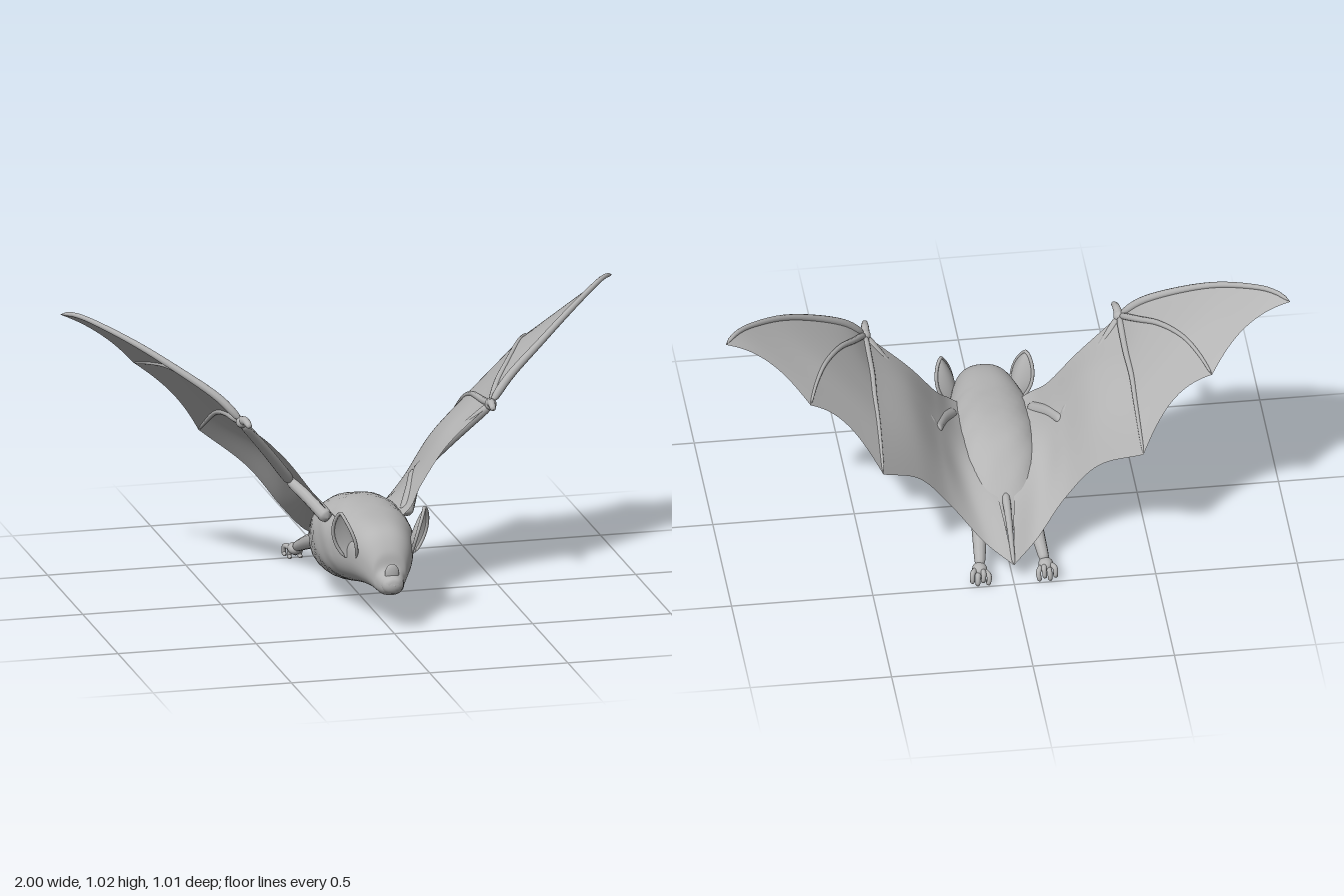
import * as THREE from 'three';

const V = (a) => new THREE.Vector3(...a);
const curve = (pts) => new THREE.CatmullRomCurve3(pts.map(p => p.isVector3 ? p : V(p)), false, 'catmullrom');
const grey = new THREE.MeshStandardMaterial({ color: 0xb4b4b4, side: THREE.DoubleSide });
grey.name = 'bat grey';

// Smooth sheet from a rule fn(u, v) -> Vector3; wrap joins the v ends
function sheet(name, nu, nv, fn, wrap = false) {
  const pos = [], idx = [], cols = wrap ? nv : nv + 1;
  for (let i = 0; i <= nu; i++)
    for (let j = 0; j < cols; j++) pos.push(...fn(i / nu, j / nv).toArray());
  for (let i = 0; i < nu; i++)
    for (let j = 0; j < nv; j++) {
      const k = (j + 1) % cols;
      const a = i * cols + j, b = i * cols + k, c = a + cols, d = b + cols;
      idx.push(a, b, c, b, d, c);
    }
  const g = new THREE.BufferGeometry();
  g.setAttribute('position', new THREE.Float32BufferAttribute(pos, 3));
  g.setIndex(idx);
  g.computeVertexNormals();
  return part(name, g);
}

function part(name, geometry) {
  const m = new THREE.Mesh(geometry, grey);
  m.name = name;
  return m;
}

function ball(name, p, s) {
  const m = part(name, new THREE.SphereGeometry(1, 20, 14));
  m.position.set(...p);
  m.scale.set(...s);
  return m;
}

// Tube along a curve, tapering from radius r0 to r1, with rounded ends
function limb(name, path, r0, r1) {
  const n = 28, frames = path.computeFrenetFrames(n);
  return sheet(name, n, 10, (u, v) => {
    const i = Math.round(u * n), a = v * Math.PI * 2;
    const cap = Math.sqrt(Math.max(0, 1 - Math.pow(Math.abs(2 * u - 1), 16)));
    const r = (r0 + (r1 - r0) * u) * cap;
    return path.getPointAt(u)
      .addScaledVector(frames.normals[i], Math.cos(a) * r)
      .addScaledVector(frames.binormals[i], Math.sin(a) * r);
  }, true);
}

// Head and body as one skin: z, top, bottom, half width
function body() {
  const rows = [
    [0.503, 0.172, 0.168, 0.002], [0.495, 0.193, 0.147, 0.026], [0.47, 0.203, 0.13, 0.042],
    [0.44, 0.222, 0.121, 0.052], [0.425, 0.272, 0.122, 0.064], [0.39, 0.318, 0.128, 0.086],
    [0.35, 0.342, 0.126, 0.104], [0.29, 0.354, 0.118, 0.122], [0.2, 0.36, 0.1, 0.146],
    [0.1, 0.366, 0.076, 0.158], [0, 0.364, 0.055, 0.162], [-0.1, 0.342, 0.046, 0.155],
    [-0.2, 0.285, 0.058, 0.128], [-0.28, 0.215, 0.078, 0.09], [-0.32, 0.16, 0.1, 0.045],
    [-0.332, 0.13, 0.125, 0.002]];
  const shape = curve(rows.map(r => [r[1], r[2], r[3]]));
  const along = curve(rows.map(r => [r[0], 0, 0]));
  return sheet('body', 90, 48, (u, v) => {
    const s = shape.getPoint(u), z = along.getPoint(u).x, a = v * Math.PI * 2;
    const sq = (t) => Math.sign(t) * Math.pow(Math.abs(t), 0.86);
    // faint ruffles in the fur behind the head
    const fur = z < 0.2 && z > -0.3 ? 1 + 0.012 * Math.sin(z * 75 + a * 3) * Math.sin(a * 11 + z * 30) : 1;
    return new THREE.Vector3(s.z * sq(Math.cos(a)) * fur,
      (s.x + s.y) / 2 + (s.x - s.y) / 2 * sq(Math.sin(a)) * fur, z);
  }, true);
}

function wing() {
  const g = new THREE.Group();
  const lead = curve([[0.45, 0.69, 0.1], [0.53, 0.775, 0.06], [0.66, 0.865, -0.02], [0.78, 0.937, -0.11],
    [0.9, 0.992, -0.22], [0.96, 1.007, -0.285], [0.998, 0.998, -0.33]]);
  const finger2 = curve([[0.45, 0.69, 0.1], [0.5, 0.74, 0], [0.565, 0.785, -0.1],
    [0.63, 0.81, -0.22], [0.675, 0.8, -0.32], [0.71, 0.775, -0.42]]);
  const finger3 = curve([[0.45, 0.69, 0.1], [0.45, 0.672, 0], [0.45, 0.66, -0.1],
    [0.455, 0.64, -0.2], [0.455, 0.595, -0.31], [0.46, 0.495, -0.477]]);

  // Outer membranes fan from the wrist and are scalloped along the trailing edge
  const fan = (name, a, b, pull) => sheet(name, 28, 20, (u, v) => {
    const t = u * (1 - pull * 4 * v * (1 - v));
    return a.getPointAt(t).lerp(b.getPointAt(t), v);
  });
  g.add(fan('outerMembrane', lead, finger2, 0.07), fan('middleMembrane', finger2, finger3, 0.1));

  // Inner membrane runs from the third finger to the back and tail
  const ribs = [finger3,
    curve([[0.3, 0.55, 0.09], [0.315, 0.555, -0.06], [0.315, 0.5, -0.22], [0.315, 0.385, -0.368]]),
    curve([[0.2, 0.42, 0.11], [0.215, 0.42, -0.05], [0.215, 0.36, -0.2], [0.2, 0.24, -0.345]]),
    curve([[0.145, 0.35, 0.16], [0.15, 0.34, -0.05], [0.135, 0.26, -0.22], [0.095, 0.125, -0.41]]),
    curve([[0.08, 0.3, 0.17], [0.08, 0.29, -0.05], [0.03, 0.22, -0.27], [0, 0.072, -0.49]])];
  const rows = 28, strips = [];
  for (let i = 0; i <= rows; i++) strips.push(curve(ribs.map(r => r.getPointAt(i / rows))));
  g.add(sheet('innerMembrane', rows, 36, (u, v) => strips[Math.round(u * rows)].getPoint(v)));

  // Arm and finger bones
  g.add(limb('leadingFinger', lead, 0.016, 0.008));
  g.add(limb('secondFinger', finger2, 0.013, 0.005));
  g.add(limb('thirdFinger', finger3, 0.014, 0.005));
  g.add(limb('forearm', curve([[0.45, 0.685, 0.1], [0.34, 0.55, 0.01], [0.225, 0.4, -0.09]]), 0.016, 0.02));
  g.add(limb('upperArm', curve([[0.225, 0.4, -0.1], [0.19, 0.37, 0], [0.14, 0.315, 0.11]]), 0.02, 0.026));
  g.add(limb('thumb', curve([[0.45, 0.685, 0.09], [0.445, 0.7, 0.13], [0.44, 0.69, 0.175]]), 0.018, 0.01));
  g.add(ball('wrist', [0.45, 0.688, 0.1], [0.021, 0.021, 0.021]));
  return g;
}

// Cupped, pointed ear opening outward and forward, with a thick rim
function ear() {
  const g = new THREE.Group();
  const axis = curve([[0.105, 0.225, 0.312], [0.125, 0.31, 0.325], [0.152, 0.4, 0.332]]);
  const across = V([0.55, 0, -0.83]), open = V([0.83, 0, 0.55]);
  const at = (u, s) => {
    const w = 0.052 * Math.pow(Math.sin(Math.PI * Math.min(1, 0.12 + 0.88 * u)), 0.75);
    return axis.getPoint(u).addScaledVector(across, s * w).addScaledVector(open, (s * s - 0.45) * w * 0.65);
  };
  g.add(sheet('earCup', 24, 16, (u, v) => at(u, v * 2 - 1)));
  const edge = [];
  for (let i = 0; i <= 10; i++) edge.push(at(i / 10, -1));
  for (let i = 9; i >= 0; i--) edge.push(at(i / 10, 1));
  g.add(limb('earRim', curve(edge), 0.006, 0.006));
  return g;
}

function leg() {
  const g = new THREE.Group();
  g.add(limb('leg', curve([[0.085, 0.15, -0.2], [0.1, 0.105, -0.32], [0.115, 0.05, -0.45]]), 0.034, 0.018));
  g.add(ball('foot', [0.117, 0.043, -0.455], [0.026, 0.022, 0.03]));
  for (let i = 0; i < 4; i++) {
    const x = 0.088 + i * 0.019, drop = i % 2 ? 0.004 : 0.016;
    g.add(limb('toe', curve([[0.11 + i * 0.005, 0.042, -0.45], [x, 0.05 - drop, -0.485],
      [x + 0.002, 0.022 - drop, -0.494], [x + 0.002, 0.022 - drop, -0.47]]), 0.011, 0.007));
  }
  return g;
}

export function createModel() {
  const bat = new THREE.Group();
  bat.name = 'bat';
  bat.add(body());

  // Upright nose leaf and rounded muzzle
  bat.add(ball('noseLeaf', [0, 0.205, 0.465], [0.026, 0.036, 0.011]));
  bat.add(ball('muzzle', [0, 0.168, 0.474], [0.04, 0.034, 0.029]));

  // Tail along the centre of the rear membrane
  bat.add(limb('tail', curve([[0, 0.22, -0.25], [0, 0.18, -0.34], [0, 0.075, -0.488]]), 0.016, 0.006));

  for (const [side, sign] of [['left', 1], ['right', -1]])
    for (const [name, make] of [['Wing', wing], ['Ear', ear], ['Leg', leg]]) {
      const g = make();
      g.name = side + name;
      g.scale.x = sign;
      bat.add(g);
    }
  return bat;
}
